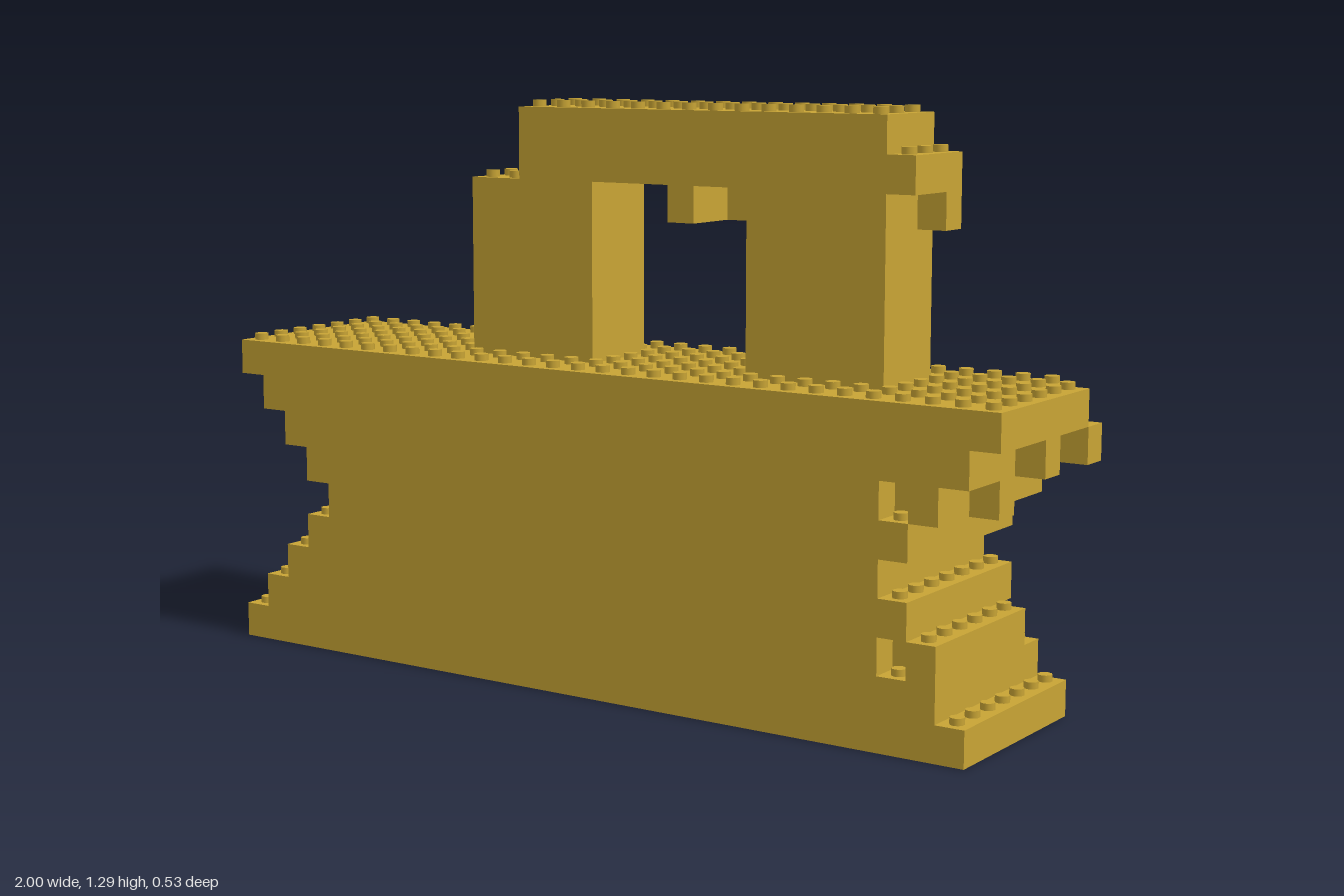
import * as THREE from 'three';
import { mergeGeometries } from 'three/addons/utils/BufferGeometryUtils.js';

const U = 2 / 30;      // stud pitch
const H = 0.08;        // course height
const gold = new THREE.MeshStandardMaterial({ color: 0xc8a435 });
gold.name = 'gold';

// Bricks in stud units: [x0, x1, z0, z1]; x runs 0..30, z runs 0..8 (back to front).
const full = (...seams) => seams.slice(1).map((x, i) => [seams[i], x, 1, 8]);
const bridge = (...seams) => seams.slice(1).map((x, i) => [seams[i], x, 3, 6]);

const courses = [
  // Stepped base
  ['baseCourse', full(0, 8, 24, 27, 29)],
  ['baseCourse', full(1, 3, 11, 19, 28)],
  ['baseCourse', [...full(2, 4, 26), [26, 28, 2, 7], [27, 28, 7, 8]]],
  ['baseCourse', full(3, 5, 9, 25, 27)],
  // Narrow waist with a recess in the back
  ['waistCourse', [[4, 16, 1, 8], [16, 19, 3, 8], [19, 26, 1, 8]]],
  ['waistCourse', [...full(3, 5, 21, 27), [10, 14, 0, 1]]],
  // Flaring top with loose end bricks
  ['flareCourse', [...full(2, 4, 10, 26), [26, 28, 2, 7], [27, 28, 7, 8], [27, 28, 1, 2], [28, 29, 5, 6]]],
  ['flareCourse', [...full(1, 9, 11, 19, 29), [29, 30, 4, 5], [29, 30, 1, 2]]],
  ['deckCourse', [...full(0, 8, 20, 28, 29), [29, 30, 2, 8]]],
  // Two pillars
  ['pillarCourse', [...bridge(9, 11, 14), ...bridge(20, 21, 25)]],
  ['pillarCourse', [...bridge(9, 14), ...bridge(20, 25)]],
  ['pillarCourse', [...bridge(9, 14), ...bridge(20, 22, 25)]],
  ['pillarCourse', [...bridge(9, 14), ...bridge(20, 24, 25)]],
  // Pillar tops with hanging bricks
  ['pillarTopCourse', [...bridge(9, 10, 14), ...bridge(20, 24, 25),
    [17, 18, 4, 6], [18, 20, 3, 4], [25, 26, 3, 4]]],
  // Lintel
  ['lintelCourse', bridge(11, 20, 26)],
  ['lintelCourse', bridge(11, 19, 25)],
];

const px = (i) => (i - 15) * U;
const pz = (k) => (k - 4) * U;

function brick([x0, x1, z0, z1], y) {
  const g = new THREE.BoxGeometry((x1 - x0) * U, H, (z1 - z0) * U);
  return g.translate(px((x0 + x1) / 2), y + H / 2, pz((z0 + z1) / 2));
}

function stud(i, k, y) {
  const g = new THREE.CylinderGeometry(0.016, 0.016, 0.015, 10);
  return g.translate(px(i + 0.5), y + 0.0075, pz(k + 0.5));
}

const covers = (bricks, i, k) =>
  bricks.some(([x0, x1, z0, z1]) => i >= x0 && i < x1 && k >= z0 && k < z1);

export function createModel() {
  const model = new THREE.Group();
  model.name = 'brickMonument';

  courses.forEach(([name, bricks], level) => {
    const course = new THREE.Group();
    course.name = name + level;
    const y = level * H;

    const body = new THREE.Mesh(mergeGeometries(bricks.map((b) => brick(b, y))), gold);
    body.name = 'bricks';
    course.add(body);

    // Studs only where the next course leaves the top open
    const above = courses[level + 1]?.[1] ?? [];
    const studs = [];
    for (let i = 0; i < 30; i++) {
      for (let k = 0; k < 8; k++) {
        if (covers(bricks, i, k) && !covers(above, i, k)) studs.push(stud(i, k, y + H));
      }
    }
    if (studs.length) {
      const mesh = new THREE.Mesh(mergeGeometries(studs), gold);
      mesh.name = 'studs';
      course.add(mesh);
    }
    model.add(course);
  });
  return model;
}
